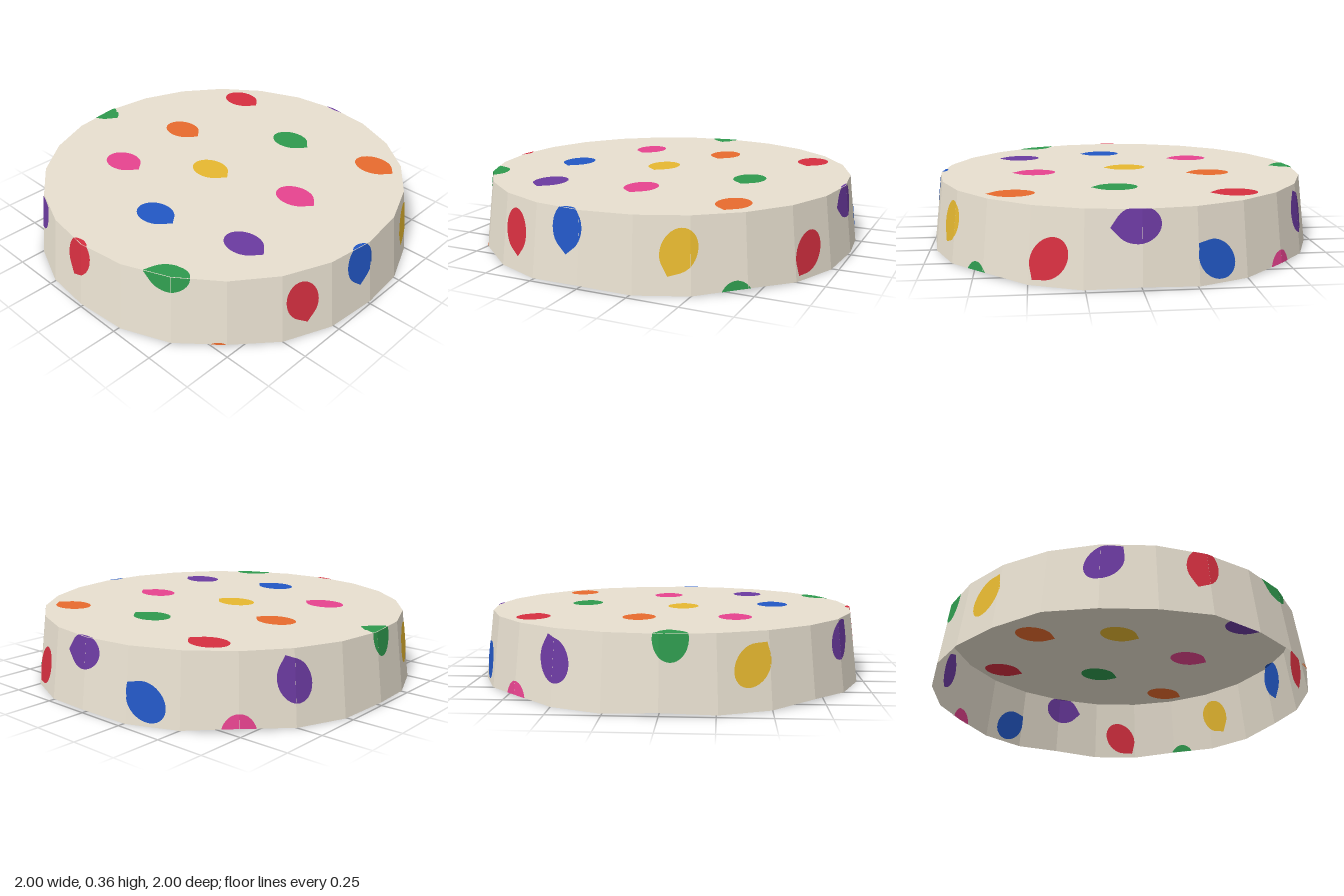
import * as THREE from 'three';

const SIDES = 24, H = 0.36, R_TOP = 0.955, R_HEM = 1, STEP = (Math.PI * 2) / SIDES, LIFT = 0.002;

const material = (name, color) => new THREE.MeshStandardMaterial({ name, color, side: THREE.DoubleSide });

// wavy lower edge and gently flared wall
const hemY = (i) => 0.01 + 0.01 * Math.cos((i * STEP) * 8);
const wallPoint = (i, y) => {
  const r = R_HEM + (R_TOP - R_HEM) * (y / H);
  return new THREE.Vector3(Math.sin(i * STEP) * r, y, Math.cos(i * STEP) * r);
};

// balloon outline: an oval drawn out to a tip pointing along (dx, dy)
function balloon(cx, cy, dx, dy) {
  const rx = 0.082, ry = 0.105, tip = 0.125, len = Math.hypot(dx, dy);
  dx /= len; dy /= len;
  const start = Math.acos(ry / tip), pts = [[0, tip]];
  for (let k = 0; k <= 28; k++) {
    const a = start + ((Math.PI * 2 - 2 * start) * k) / 28;
    pts.push([Math.sin(a) * rx, Math.cos(a) * ry]);
  }
  return pts.map(([a, b]) => [cx - a * dy + b * dx, cy + a * dx + b * dy]);
}

// keep the part of a convex polygon where dist(point) >= 0
function clip(poly, dist) {
  const out = [];
  poly.forEach((p, k) => {
    const q = poly[(k + 1) % poly.length], dp = dist(p), dq = dist(q);
    if (dp >= 0) out.push(p);
    if ((dp >= 0) !== (dq >= 0)) {
      const t = dp / (dp - dq);
      out.push([p[0] + (q[0] - p[0]) * t, p[1] + (q[1] - p[1]) * t]);
    }
  });
  return out;
}

// fan-fill a flat outline once on each face of the cloth
function addPatch(positions, pts, normal) {
  for (const side of [1, -1]) {
    const p = pts.map((v) => v.clone().addScaledVector(normal, side * LIFT));
    for (let k = 1; k < p.length - 1; k++) {
      const tri = [p[0], p[k], p[k + 1]];
      const n = tri[1].clone().sub(tri[0]).cross(tri[2].clone().sub(tri[0]));
      if (n.dot(normal) * side < 0) tri.reverse();
      tri.forEach((v) => positions.push(v.x, v.y, v.z));
    }
  }
}

function patchMesh(positions, mat, name) {
  const geo = new THREE.BufferGeometry();
  geo.setAttribute('position', new THREE.Float32BufferAttribute(positions, 3));
  geo.computeVertexNormals();
  const mesh = new THREE.Mesh(geo, mat);
  mesh.name = name;
  return mesh;
}

const UP = new THREE.Vector3(0, 1, 0);

function topSpot(x, z, mat) {
  const positions = [];
  addPatch(positions, balloon(x, z, 0, 1).map(([a, b]) => new THREE.Vector3(a, H, b)), UP);
  return patchMesh(positions, mat, 'topBalloon');
}

// spot folded over the wall facets, and over the rim when it reaches that high
function wallSpot(degrees, y, dx, dy, mat) {
  const positions = [], arc = STEP * 0.975;
  const centre = THREE.MathUtils.degToRad(degrees) / STEP;
  const outline = balloon(0, y, dx, dy).map(([u, v]) => [centre + u / arc, v]);
  for (let i = Math.floor(centre) - 1; i <= Math.floor(centre) + 1; i++) {
    let piece = clip(clip(outline, (p) => p[0] - i), (p) => i + 1 - p[0]);
    const at = (f, h) => wallPoint(i, h).lerp(wallPoint(i + 1, h), f - i);
    const mid = (i + 0.5) * STEP;
    const inward = new THREE.Vector3(-Math.sin(mid), 0, -Math.cos(mid));
    const rim = clip(piece, (p) => p[1] - H);
    if (rim.length > 2) {
      addPatch(positions, rim.map(([f, v]) => at(f, H).addScaledVector(inward, v - H)), UP);
    }
    piece = clip(piece, (p) => H - p[1]);
    piece = clip(piece, (p) => p[1] - THREE.MathUtils.lerp(hemY(i), hemY(i + 1), p[0] - i));
    if (piece.length > 2) {
      const normal = inward.clone().negate().setY((R_HEM - R_TOP) / H).normalize();
      addPatch(positions, piece.map(([f, v]) => at(f, v)), normal);
    }
  }
  return patchMesh(positions, mat, 'skirtBalloon');
}

export function createModel() {
  const group = new THREE.Group();
  group.name = 'roundTablecloth';
  const cloth = material('cream cloth', 0xe8e0d0);
  const red = material('red', 0xd62f40), pink = material('pink', 0xe6438f);
  const orange = material('orange', 0xea6c2e), yellow = material('yellow', 0xe6b830);
  const green = material('green', 0x2f9a4e), blue = material('blue', 0x2257c4);
  const purple = material('purple', 0x6b3aa0);

  // flat round top
  const top = new THREE.Mesh(new THREE.CircleGeometry(R_TOP, SIDES).rotateX(-Math.PI / 2).translate(0, H, 0), cloth);
  top.name = 'clothTop';
  group.add(top);

  // hanging skirt, open below
  const wall = [];
  for (let i = 0; i < SIDES; i++) {
    const a = wallPoint(i, hemY(i)), b = wallPoint(i + 1, hemY(i + 1));
    const c = wallPoint(i + 1, H), d = wallPoint(i, H);
    [a, b, c, a, c, d].forEach((v) => wall.push(v.x, v.y, v.z));
  }
  group.add(patchMesh(wall, cloth, 'clothSkirt'));

  // balloons printed on the top: x, z, colour
  [
    [-0.335, -0.435, pink], [0.135, -0.465, orange], [0.655, -0.485, red],
    [-0.062, -0.04, yellow], [-0.545, 0.06, blue], [0.475, 0.065, green],
    [-0.422, 0.54, purple], [0.05, 0.455, pink], [0.577, 0.565, orange],
  ].forEach((s) => group.add(topSpot(...s)));

  // balloons printed on the skirt: angle from the front, height, tip direction, colour
  [
    [-4, 0.275, 0, -1, blue], [-24, 0.2, 0.2, -1, red], [27, 0.205, -0.4, -0.9, yellow],
    [42, -0.045, 0, -1, green], [65.5, 0.13, -0.6, -0.8, red], [89, 0.29, -1, -0.1, purple],
    [110.5, 0.115, -0.75, 0.65, blue], [135, -0.02, 0, -1, pink], [150, 0.215, -0.35, 0.94, purple],
    [183, 0.34, 0, 1, green], [-155, 0.21, 0.6, 0.8, yellow], [-119, 0.26, 0.7, 0.7, purple],
    [-91.5, 0.28, -0.3, -0.95, red], [-61, 0.36, -1, 0, green], [-47, -0.075, 0, -1, orange],
  ].forEach((s) => group.add(wallSpot(...s)));

  return group;
}
